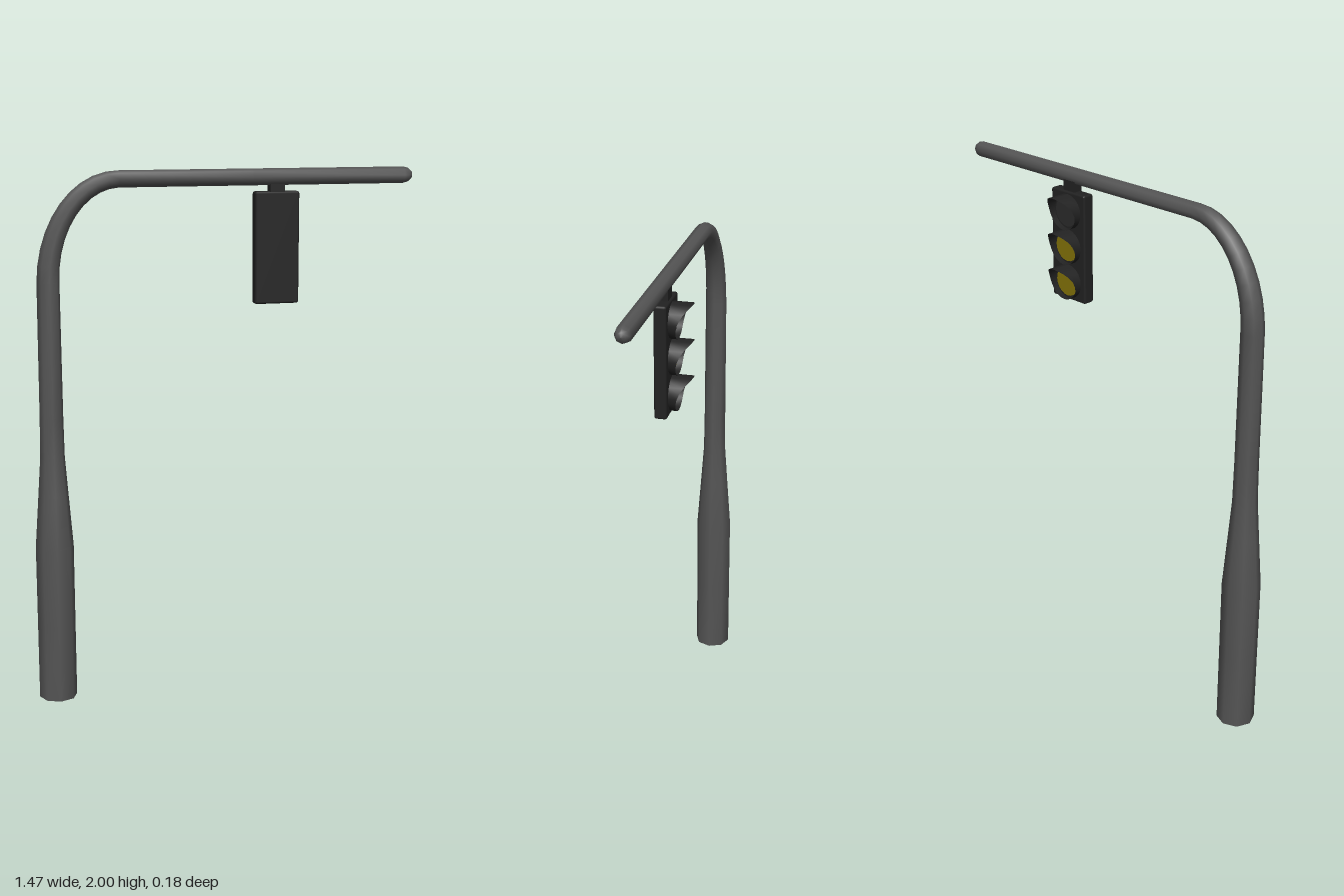
import * as THREE from 'three';
import { RoundedBoxGeometry } from 'three/addons/geometries/RoundedBoxGeometry.js';

const mat = (name, color, side = THREE.FrontSide) => {
  const m = new THREE.MeshStandardMaterial({ color, side });
  m.name = name;
  return m;
};

// Tapered tube swept through [x, y, radius] stations lying in one upright plane
function sweep(stations, sides) {
  const pos = [], index = [];
  stations.forEach(([x, y, r], i) => {
    const a = stations[Math.max(i - 1, 0)];
    const b = stations[Math.min(i + 1, stations.length - 1)];
    const len = Math.hypot(b[0] - a[0], b[1] - a[1]);
    const tx = (b[0] - a[0]) / len, ty = (b[1] - a[1]) / len;
    for (let j = 0; j < sides; j++) {
      const t = (j / sides) * Math.PI * 2, c = r * Math.cos(t);
      pos.push(x + c * ty, y - c * tx, r * Math.sin(t));
      if (i < stations.length - 1) {
        const k = (j + 1) % sides, p = i * sides, q = p + sides;
        index.push(p + j, q + j, p + k, q + j, q + k, p + k);
      }
    }
  });
  const g = new THREE.BufferGeometry();
  g.setAttribute('position', new THREE.Float32BufferAttribute(pos, 3));
  g.setIndex(index);
  g.computeVertexNormals();
  return g;
}

// Hood around a lens: long at the top, short at the bottom, pointing to -z
function visorGeometry(radius) {
  const g = new THREE.CylinderGeometry(radius, radius, 1, 20, 1, true);
  g.rotateX(-Math.PI / 2);
  const p = g.attributes.position;
  for (let i = 0; i < p.count; i++) {
    const s = (1 + p.getY(i) / radius) / 2;
    p.setZ(i, p.getZ(i) < 0 ? -(0.025 + 0.055 * s ** 3) : 0);
  }
  g.computeVertexNormals();
  return g;
}

export function createModel() {
  const group = new THREE.Group();
  const steel = mat('pole grey', 0x555555);
  const black = mat('housing black', 0x222222);
  const hood = mat('visor black', 0x222222, THREE.DoubleSide);
  const dark = mat('unlit lens', 0x2c2c2c);
  const amber = mat('amber lens', 0x857408);

  const add = (name, geometry, material, x, y, z, parent = group) => {
    const m = new THREE.Mesh(geometry, material);
    m.name = name;
    m.position.set(x, y, z);
    parent.add(m);
    return m;
  };

  // Pole: thick foot, taper, curved bend, horizontal arm with rounded tip
  const px = -0.667, pz = 0.021;
  const stations = [[px, 0, 0.072], [px, 0.3, 0.072], [px, 0.6, 0.072],
    [px, 0.8, 0.057], [px, 0.95, 0.046], [px, 1.1, 0.044]];
  for (let i = 0; i <= 10; i++) {
    const t = (i / 10) * Math.PI / 2;
    stations.push([-0.4 + (px + 0.4) * Math.cos(t), 1.6 + 0.369 * Math.sin(t), 0.042 - 0.0011 * i]);
  }
  stations.push([0.1, 1.969, 0.031], [0.695, 1.969, 0.031], [0.715, 1.969, 0.026],
    [0.727, 1.969, 0.016], [0.731, 1.969, 0]);
  add('pole', sweep(stations, 8), steel, 0, 0, pz);
  add('poleBase', new THREE.CircleGeometry(0.072, 8).rotateX(Math.PI / 2), steel, px, 0, pz);

  // Signal head hanging below the arm, facing -z
  const head = new THREE.Group();
  head.name = 'signalHead';
  head.position.set(0.197, 0, 0);
  group.add(head);
  add('hanger', new THREE.BoxGeometry(0.056, 0.06, 0.036), black, 0, 1.93, 0.014, head);
  add('housing', new RoundedBoxGeometry(0.172, 0.42, 0.047, 1, 0.008), black, 0, 1.705, 0.0115, head);

  // Three lenses, each in a ring with a hood
  const visor = visorGeometry(0.066);
  const lens = new THREE.CylinderGeometry(0.056, 0.056, 0.008, 20).rotateX(Math.PI / 2);
  [[1.84, dark, 'top'], [1.705, amber, 'middle'], [1.568, amber, 'bottom']].forEach(([y, m, n]) => {
    add(n + 'Visor', visor, hood, 0, y, -0.011, head);
    add(n + 'Lens', lens, m, 0, y, -0.014, head);
  });
  return group;
}
